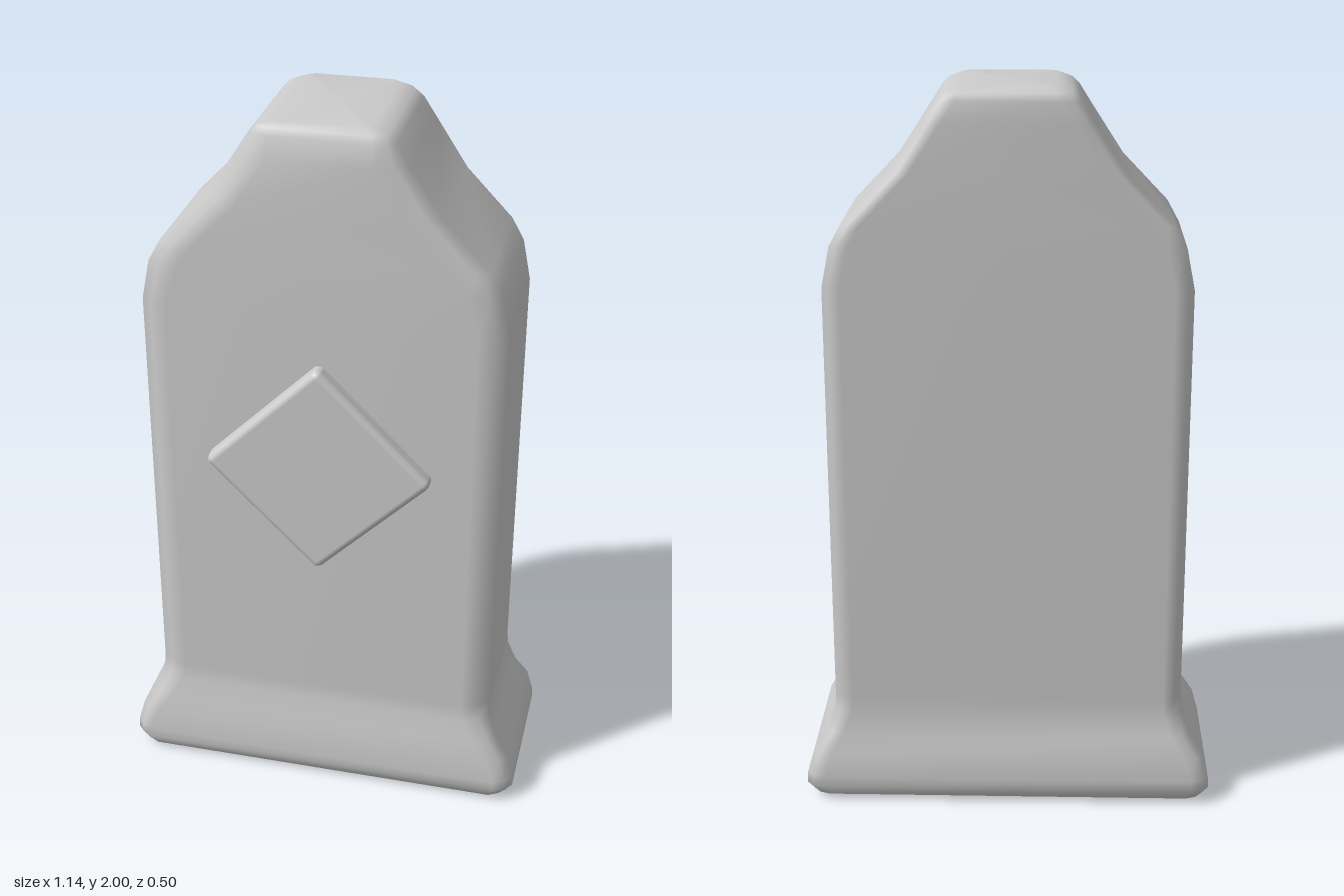
import * as THREE from 'three';
import { RoundedBoxGeometry } from 'three/addons/geometries/RoundedBoxGeometry.js';

// Bevelled cross-section, counter-clockwise seen from above, starting at front left
function ring([y, w, front, back, bevel, depth]) {
  const b = Math.min(bevel, 0.05); // the back bevel is narrower
  const left = [
    [w - bevel, front], [w - bevel * 0.38, front - depth * 0.45], [w, front - depth],
    [w, back + 0.03], [w - b * 0.38, back + 0.01], [w - b, back],
  ];
  const right = left.map(([x, z]) => [-x, z]).reverse();
  return [...left, ...right].map(([x, z]) => [x, y, z]);
}

// Loft through the cross-sections, closed with a cap at both ends
function loft(rows) {
  const rings = rows.map(ring);
  const n = rings[0].length;
  const positions = rings.flat(2);
  const index = [];
  for (let r = 0; r < rings.length - 1; r++) {
    for (let i = 0; i < n; i++) {
      const a = r * n + i, b = r * n + (i + 1) % n;
      index.push(a, b, b + n, a, b + n, a + n);
    }
  }
  const bottom = positions.length / 3, top = bottom + 1, last = (rings.length - 1) * n;
  positions.push(0, rows[0][0], 0, 0, rows[rows.length - 1][0], 0);
  for (let i = 0; i < n; i++) {
    const j = (i + 1) % n;
    index.push(bottom, j, i, top, last + i, last + j);
  }
  const geometry = new THREE.BufferGeometry();
  geometry.setAttribute('position', new THREE.Float32BufferAttribute(positions, 3));
  geometry.setIndex(index);
  geometry.computeVertexNormals();
  return geometry;
}

export function createModel() {
  const model = new THREE.Group();
  const material = new THREE.MeshStandardMaterial({ color: 0xcccccc });

  // Slab with flared foot and stepped, narrowing head:
  // height, half width, front z, back z, bevel width, bevel depth
  const body = new THREE.Mesh(loft([
    [0, 0.52, 0.2, -0.21, 0.04, 0.03],
    [0.015, 0.55, 0.227, -0.236, 0.045, 0.035],
    [0.045, 0.57, 0.24, -0.25, 0.05, 0.04],
    [0.075, 0.568, 0.24, -0.25, 0.05, 0.04],
    [0.14, 0.55, 0.235, -0.245, 0.055, 0.04],
    [0.2, 0.513, 0.223, -0.225, 0.06, 0.04],
    [0.265, 0.488, 0.211, -0.216, 0.07, 0.04],
    [0.31, 0.485, 0.206, -0.216, 0.075, 0.04],
    [1.48, 0.485, 0.206, -0.216, 0.075, 0.04],
    [1.59, 0.463, 0.206, -0.216, 0.085, 0.04],
    [1.65, 0.43, 0.206, -0.216, 0.09, 0.04],
    [1.78, 0.305, 0.206, -0.216, 0.09, 0.04],
    [1.91, 0.22, 0.206, -0.216, 0.085, 0.04],
    [1.965, 0.185, 0.19, -0.213, 0.055, 0.025],
    [1.985, 0.165, 0.183, -0.205, 0.035, 0.02],
    [2, 0.125, 0.17, -0.19, 0.02, 0.015],
  ]), material);
  body.name = 'body';
  model.add(body);

  // Raised diamond plate on the front
  const diamond = new THREE.Mesh(new RoundedBoxGeometry(0.44, 0.44, 0.1, 3, 0.02), material);
  diamond.name = 'diamondPlate';
  diamond.rotation.z = Math.PI / 4;
  diamond.position.set(0, 1.055, 0.2);
  model.add(diamond);

  return model;
}
